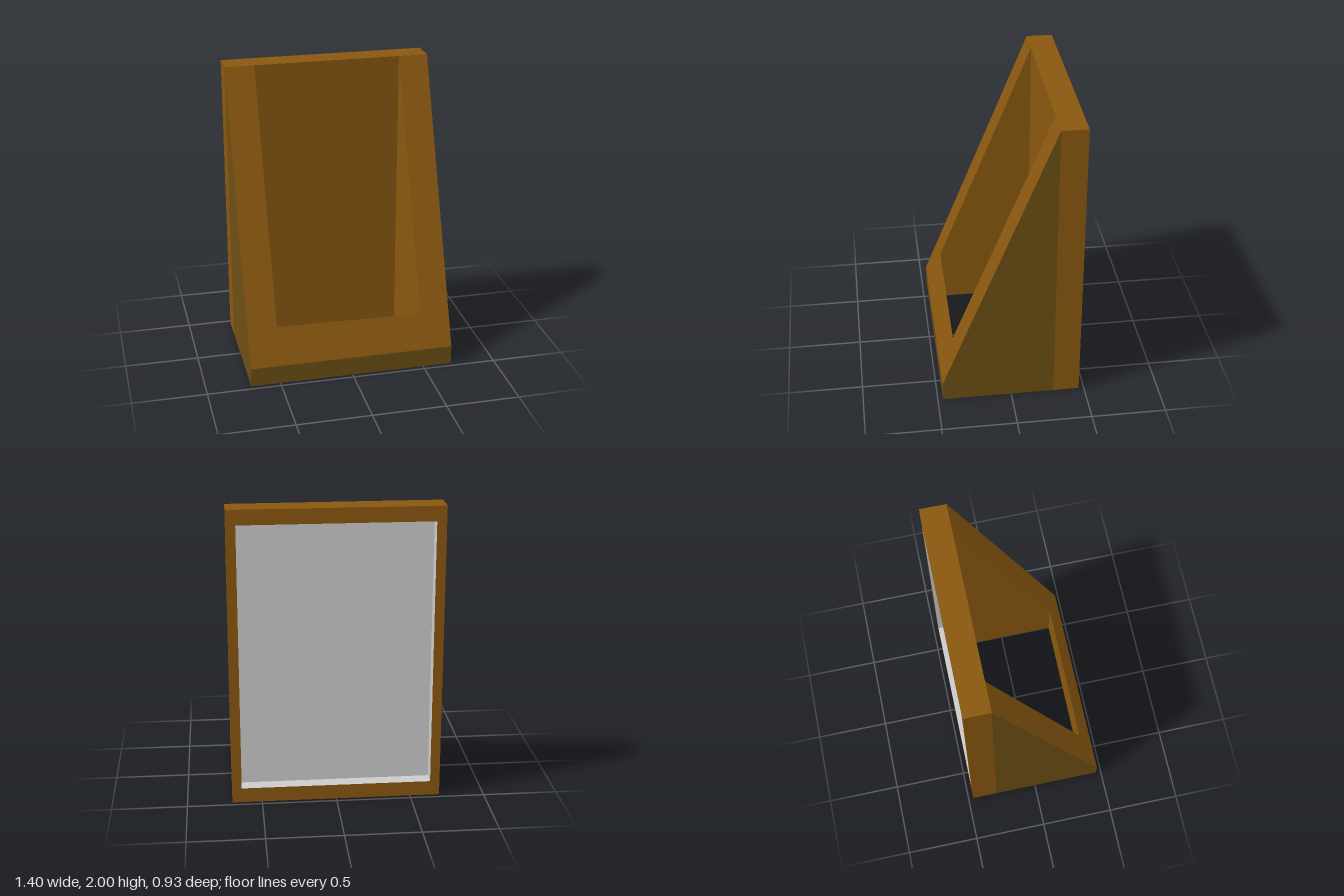
import * as THREE from 'three';

const W = 0.7, BACK = -0.465, MID = -0.29, FRONT = 0.465, H = 2, LIP = 0.13;
const RECESS = -0.37; // depth plane of the rear recess

const brown = new THREE.MeshStandardMaterial({ color: 0x89570f });
const dark = new THREE.MeshStandardMaterial({ color: 0x6c4f14 });
const grey = new THREE.MeshStandardMaterial({ color: 0xcccccc });

// Use material 1 for every triangle whose three corners pass one of the tests
function paint(geometry, tests) {
  const p = geometry.attributes.position;
  geometry.clearGroups();
  for (let i = 0; i < p.count; i += 3) {
    const corners = [i, i + 1, i + 2].map((k) => new THREE.Vector3().fromBufferAttribute(p, k));
    geometry.addGroup(i, 3, tests.some((t) => corners.every(t)) ? 1 : 0);
  }
  return geometry;
}

const near = (a, b) => Math.abs(a - b) < 1e-4;
const polygon = (pts) => pts.map(([x, y]) => new THREE.Vector2(x, y));
const rect = (x, y0, y1) => polygon([[-x, y0], [x, y0], [x, y1], [-x, y1]]);

function named(name, geometry, material) {
  const mesh = new THREE.Mesh(geometry, material);
  mesh.name = name;
  return mesh;
}

// U-shaped plan raised to a sloping top
function wedgeGeometry() {
  const plan = new THREE.Shape(polygon([
    [-W, -FRONT], [W, -FRONT], [W, -MID], [0.5, -MID],
    [0.5, -0.372], [-0.5, -0.367], [-0.5, -MID], [-W, -MID],
  ]));
  const g = new THREE.ExtrudeGeometry(plan, { depth: 1, bevelEnabled: false });
  g.rotateX(-Math.PI / 2);
  const p = g.attributes.position;
  for (let i = 0; i < p.count; i++) {
    const top = LIP + (FRONT - p.getZ(i)) * (H - LIP) / (FRONT - MID);
    p.setY(i, p.getY(i) > 0.5 ? top : 0);
  }
  g.computeVertexNormals();
  return paint(g, [
    (v) => near(v.x, W), (v) => near(v.x, -W), (v) => near(v.z, FRONT),
  ]);
}

// Rectangular border around the rear recess, with grey inner walls
function rimGeometry() {
  const shape = new THREE.Shape(rect(W, 0, H));
  const x = 0.636, y0 = 0.1, y1 = 1.9;
  shape.holes.push(new THREE.Path(rect(x, y0, y1)));
  const g = new THREE.ExtrudeGeometry(shape, { depth: RECESS - BACK, bevelEnabled: false });
  g.translate(0, 0, BACK);
  return paint(g, [
    (v) => near(v.x, x), (v) => near(v.x, -x), (v) => near(v.y, y0), (v) => near(v.y, y1),
  ]);
}

export function createModel() {
  const model = new THREE.Group();
  model.name = 'wedgeFrame';

  model.add(named('slopingFrame', wedgeGeometry(), [brown, dark]));

  // Upright back panel, grey on its rear face
  const panel = new THREE.BoxGeometry(2 * W, H, MID - RECESS);
  panel.translate(0, H / 2, (MID + RECESS) / 2);
  model.add(named('backPanel', panel, [brown, brown, brown, brown, brown, grey]));

  model.add(named('backRim', rimGeometry(), [brown, grey]));
  return model;
}
